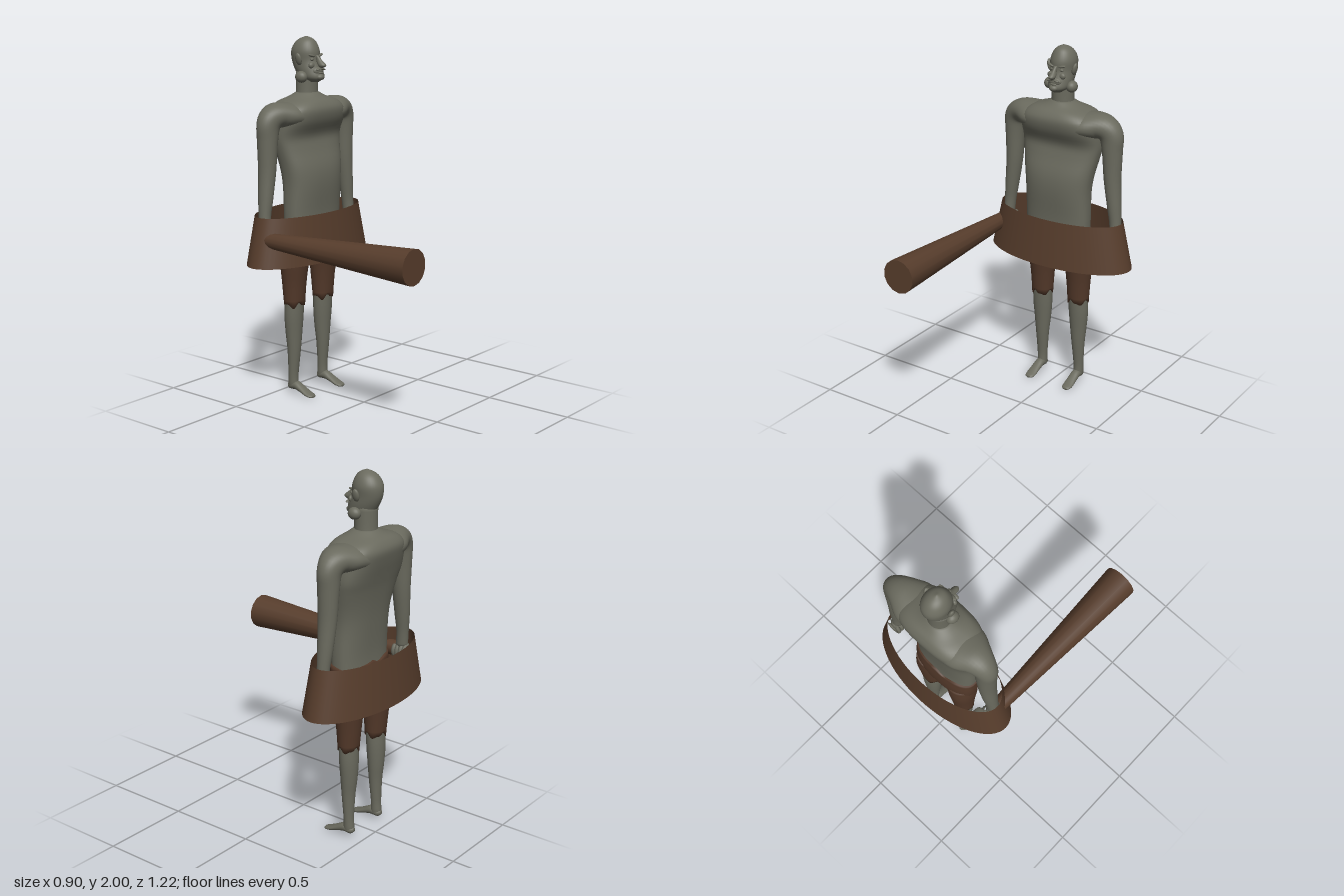
import * as THREE from 'three';

const skin = new THREE.MeshStandardMaterial({ color: 0x6a6a5e, name: 'grey skin' });
const wood = new THREE.MeshStandardMaterial({ color: 0x573d2c, name: 'brown wood', side: THREE.DoubleSide });
const cloth = new THREE.MeshStandardMaterial({ color: 0x523829, name: 'brown cloth' });

const Z = new THREE.Vector3(0, 0, 1);
const Y = new THREE.Vector3(0, 1, 0);

// Smooth closed body through stations [x, y, z, radius, depth radius, roundness].
// side mirrors the path in x; up is the direction of the depth radius.
function loft(stations, side = 1, up = Z, steps = 5, segs = 32) {
  const path = new THREE.CatmullRomCurve3(stations.map(s => new THREE.Vector3(s[0] * side, s[1], s[2])), false, 'catmullrom');
  const size = new THREE.CatmullRomCurve3(stations.map(s => new THREE.Vector3(s[3], s[4], s[5] || 2)), false, 'catmullrom');
  const rows = (stations.length - 1) * steps;
  const pos = [], index = [];
  const soft = (v, n) => Math.sign(v) * Math.pow(Math.abs(v), 2 / n);
  for (let j = 0; j <= rows; j++) {
    const t = j / rows;
    const c = path.getPoint(t), r = size.getPoint(t);
    const u = new THREE.Vector3().crossVectors(up, path.getTangent(t)).normalize();
    for (let i = 0; i < segs; i++) {
      const a = i / segs * Math.PI * 2;
      const p = c.clone().addScaledVector(u, r.x * soft(Math.cos(a), r.z)).addScaledVector(up, r.y * soft(Math.sin(a), r.z));
      pos.push(p.x, p.y, p.z);
      if (j < rows) {
        const k = j * segs + i, m = j * segs + (i + 1) % segs;
        index.push(k, m, m + segs, k, m + segs, k + segs);
      }
    }
  }
  // End caps
  const first = pos.length / 3, last = rows * segs;
  const p0 = path.getPoint(0), p1 = path.getPoint(1);
  pos.push(p0.x, p0.y, p0.z, p1.x, p1.y, p1.z);
  for (let i = 0; i < segs; i++) {
    const n = (i + 1) % segs;
    index.push(first, n, i, first + 1, last + i, last + n);
  }
  const g = new THREE.BufferGeometry();
  g.setAttribute('position', new THREE.Float32BufferAttribute(pos, 3));
  g.setIndex(index);
  g.computeVertexNormals();
  return g;
}

// Ragged edge: shift the vertices lying on one height up and down
function ragged(g, y, amount, cx, cz) {
  const p = g.attributes.position;
  for (let i = 0; i < p.count; i++) {
    if (Math.abs(p.getY(i) - y) > 0.002) continue;
    const a = Math.atan2(p.getZ(i) - cz, p.getX(i) - cx);
    p.setY(i, y + amount * (Math.sin(a * 4 + 0.6) + 0.6 * Math.sin(a * 7)));
  }
  g.computeVertexNormals();
  return g;
}

export function createModel() {
  const model = new THREE.Group();
  model.name = 'figure';
  const add = (name, geometry, material, parent = model) => {
    const m = new THREE.Mesh(geometry, material);
    m.name = name;
    parent.add(m);
    return m;
  };
  const blob = (name, x, y, z, rx, ry, rz, parent) => {
    const m = add(name, new THREE.SphereGeometry(1, 20, 14), skin, parent);
    m.position.set(x, y, z);
    m.scale.set(rx, ry, rz);
    return m;
  };

  // Torso
  add('torso', loft([
    [0, 0.93, -0.375, 0.195, 0.088, 2.5],
    [0, 1.05, -0.372, 0.198, 0.088, 2.5],
    [0, 1.2, -0.37, 0.198, 0.1, 2.5],
    [0, 1.3, -0.378, 0.21, 0.103, 2.5],
    [0, 1.4, -0.4, 0.23, 0.098, 2.6],
    [0, 1.47, -0.413, 0.241, 0.102, 2.8],
    [0, 1.55, -0.404, 0.236, 0.132, 3],
    [0, 1.61, -0.403, 0.222, 0.142, 3],
    [0, 1.65, -0.403, 0.18, 0.122, 2.8],
    [0, 1.675, -0.402, 0.11, 0.09, 2.3],
    [0, 1.7, -0.4, 0.06, 0.06, 2],
  ], 1, Z, 4, 48), skin);

  // Neck and head
  const head = new THREE.Group();
  head.name = 'head';
  model.add(head);
  add('neck', loft([
    [0, 1.64, -0.405, 0.068, 0.066],
    [0, 1.7, -0.402, 0.062, 0.06],
    [0, 1.82, -0.4, 0.062, 0.06],
  ]), skin, head);
  add('skull', loft([
    [0, 1.755, -0.355, 0.025, 0.035],
    [0, 1.78, -0.368, 0.056, 0.072],
    [0, 1.82, -0.388, 0.066, 0.081],
    [0, 1.87, -0.407, 0.068, 0.083],
    [0, 1.92, -0.41, 0.071, 0.083],
    [0, 1.96, -0.408, 0.058, 0.066],
    [0, 1.985, -0.404, 0.036, 0.042],
    [0, 2, -0.402, 0.004, 0.005],
  ]), skin, head);
  add('nose', loft([
    [0, 1.9, -0.328, 0.009, 0.01],
    [0, 1.875, -0.313, 0.011, 0.018],
    [0, 1.85, -0.292, 0.018, 0.026],
    [0, 1.835, -0.293, 0.012, 0.014],
  ]), skin, head);
  blob('chin', 0, 1.783, -0.308, 0.026, 0.018, 0.024, head);
  blob('muzzle', 0, 1.815, -0.325, 0.04, 0.026, 0.026, head);
  blob('lowerLip', 0, 1.805, -0.302, 0.02, 0.006, 0.008, head);
  for (const s of [1, -1]) {
    blob('jowl', s * 0.07, 1.785, -0.38, 0.03, 0.032, 0.036, head);
    blob('ear', s * 0.078, 1.88, -0.392, 0.013, 0.034, 0.02, head).rotation.z = -s * 0.25;
    blob('cheek', s * 0.036, 1.847, -0.335, 0.02, 0.018, 0.014, head);
    blob('eye', s * 0.03, 1.878, -0.337, 0.012, 0.008, 0.009, head);
    blob('brow', s * 0.032, 1.898, -0.336, 0.025, 0.007, 0.012, head).rotation.z = s * 0.25;
    blob('moustache', s * 0.018, 1.826, -0.303, 0.02, 0.006, 0.01, head).rotation.z = -s * 0.25;
  }

  for (const s of [1, -1]) {
    const side = s > 0 ? 'left' : 'right';

    // Arm
    add(side + 'Arm', loft([
      [0.1, 1.575, -0.405, 0.075, 0.13],
      [0.19, 1.588, -0.405, 0.07, 0.12],
      [0.26, 1.588, -0.405, 0.068, 0.085],
      [0.304, 1.548, -0.407, 0.069, 0.062],
      [0.314, 1.46, -0.408, 0.057, 0.056],
      [0.32, 1.3, -0.408, 0.047, 0.05],
      [0.336, 1.15, -0.407, 0.039, 0.042],
      [0.347, 1.05, -0.405, 0.033, 0.034],
      [0.352, 0.96, -0.4, 0.03, 0.034],
    ], s), skin);

    // Closed hand with fingers curled round the grip
    const hand = new THREE.Group();
    hand.name = side + 'Hand';
    hand.position.set(s * 0.355, 0.93, -0.4);
    model.add(hand);
    blob('palm', 0, 0.018, 0, 0.036, 0.042, 0.044, hand);
    for (let i = 0; i < 4; i++) {
      const f = add('finger', new THREE.TorusGeometry(0.038, 0.011, 8, 20, Math.PI * 1.5), skin, hand);
      f.position.z = -0.033 + i * 0.022;
      f.rotation.z = s > 0 ? -Math.PI * 1.3 : -Math.PI * 1.2;
    }

    // Lower leg and foot
    add(side + 'Leg', loft([
      [0.12, 0.58, -0.4, 0.058, 0.05],
      [0.122, 0.46, -0.405, 0.058, 0.05],
      [0.122, 0.35, -0.407, 0.049, 0.044],
      [0.123, 0.25, -0.406, 0.039, 0.036],
      [0.125, 0.12, -0.411, 0.03, 0.028],
      [0.125, 0.06, -0.413, 0.028, 0.03],
      [0.125, 0.035, -0.413, 0.024, 0.026],
    ], s), skin);
    add(side + 'Foot', loft([
      [0.125, 0.047, -0.447, 0.01, 0.01],
      [0.125, 0.046, -0.428, 0.025, 0.022],
      [0.125, 0.05, -0.385, 0.027, 0.025],
      [0.126, 0.034, -0.34, 0.028, 0.019],
      [0.127, 0.018, -0.3, 0.03, 0.014],
      [0.127, 0.011, -0.272, 0.026, 0.01],
      [0.127, 0.009, -0.26, 0.014, 0.006],
    ], s, Y), skin);

    // Trouser leg with torn hem
    add(side + 'TrouserLeg', ragged(loft([
      [0.108, 0.88, -0.39, 0.088, 0.085],
      [0.12, 0.78, -0.397, 0.081, 0.083],
      [0.121, 0.65, -0.401, 0.07, 0.067],
      [0.121, 0.525, -0.401, 0.063, 0.055],
    ], s), 0.525, 0.012, s * 0.121, -0.401), cloth);
  }

  // Trouser waist
  add('trouserWaist', ragged(loft([
    [0, 0.8, -0.39, 0.15, 0.06, 2.4],
    [0, 0.84, -0.388, 0.196, 0.09, 2.4],
    [0, 0.91, -0.38, 0.205, 0.1, 2.5],
    [0, 0.99, -0.374, 0.202, 0.094, 2.5],
  ], 1, Z, 5, 48), 0.99, 0.008, 0, -0.374), cloth);

  // Flared oval hoop around the hips
  const hoop = new THREE.CylinderGeometry(0.385, 0.447, 0.267, 64, 1, true);
  hoop.scale(1, 1, 0.463);
  add('hoop', hoop, wood).position.set(0, 0.9185, -0.403);

  // Tapered club held forward in the right hand
  const club = new THREE.CylinderGeometry(0.095, 0.038, 1.028, 14);
  club.rotateX(Math.PI / 2);
  add('club', club, wood).position.set(-0.361, 0.931, 0.094);

  return model;
}
